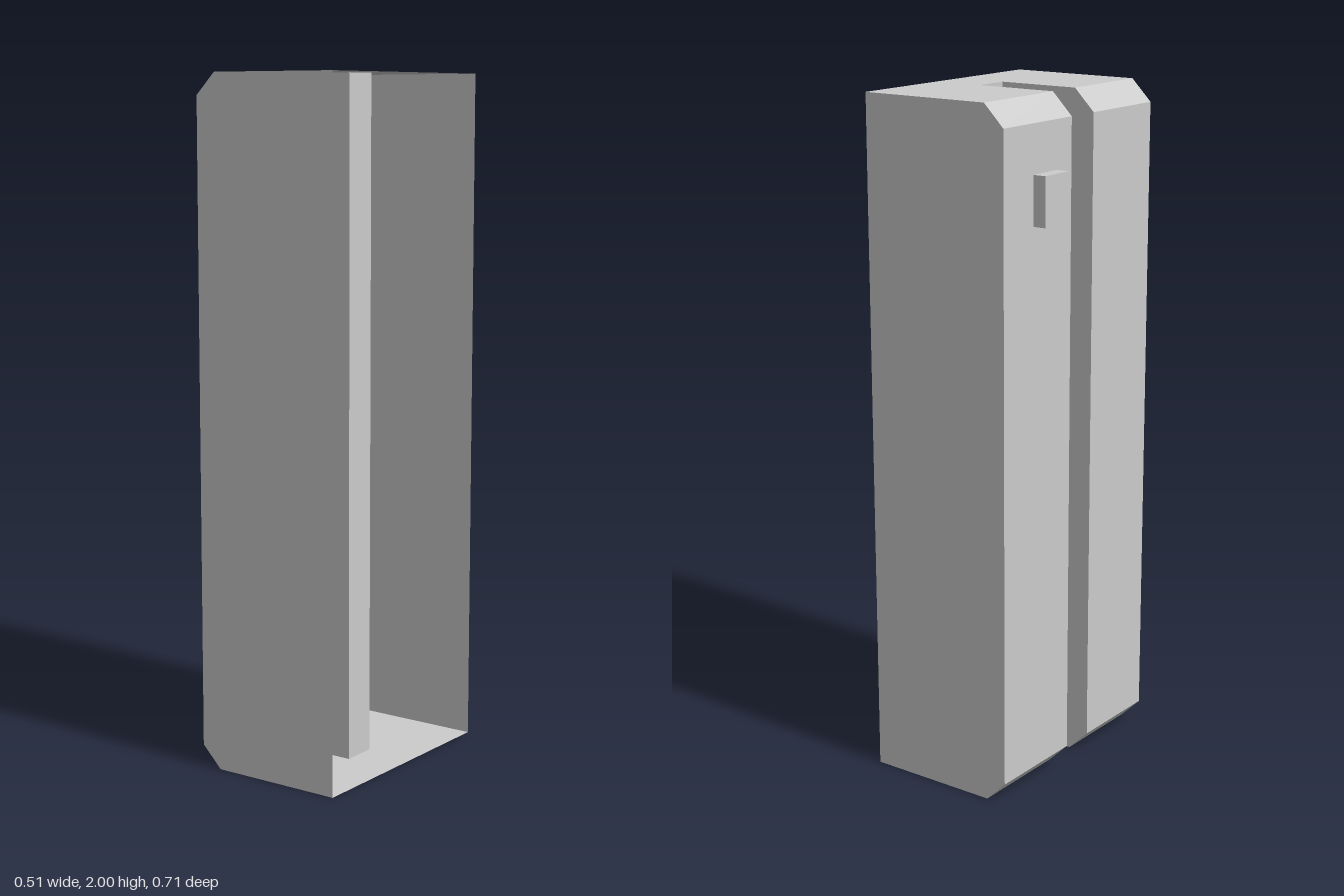
import * as THREE from 'three';

const H = 2, CUT = 0.063;                       // height, chamfer size
const BACK = -0.213, OPEN = 0.253, END = 0.1;   // closed side, open side, slot end (x)
const Z0 = -0.355, Z1 = 0.355, S0 = -0.043, S1 = 0.063; // outer walls, slot walls (z)

const material = new THREE.MeshStandardMaterial({ color: 0xcccccc, side: THREE.DoubleSide });

function part(name, geometry, x = 0, y = 0, z = 0) {
  const mesh = new THREE.Mesh(geometry, material);
  mesh.name = name;
  mesh.position.set(x, y, z);
  return mesh;
}

// Flat sheet from a list of [a, b] corners
function sheet(points) {
  return new THREE.ShapeGeometry(new THREE.Shape(points.map(([a, b]) => new THREE.Vector2(a, b))));
}

// Side outline with two chamfered corners, reaching to the given x
function outline(xEnd) {
  return sheet([
    [xEnd, 0], [xEnd, H], [BACK + CUT, H], [BACK, H - CUT], [BACK, CUT], [BACK + CUT, 0],
  ]);
}

// Folded panel following an x-y path between two z positions
function foldedPanel(path, za, zb) {
  const pos = [];
  for (let i = 0; i < path.length - 1; i++) {
    const [ax, ay] = path[i], [bx, by] = path[i + 1];
    pos.push(ax, ay, za, ax, ay, zb, bx, by, zb, ax, ay, za, bx, by, zb, bx, by, za);
  }
  const geometry = new THREE.BufferGeometry();
  geometry.setAttribute('position', new THREE.Float32BufferAttribute(pos, 3));
  geometry.computeVertexNormals();
  return geometry;
}

export function createModel() {
  const group = new THREE.Group();
  group.name = 'slottedHousing';

  // Outer side walls
  group.add(part('frontWall', outline(OPEN), 0, 0, Z1));
  group.add(part('rearWall', outline(OPEN).rotateY(Math.PI).scale(-1, 1, 1), 0, 0, Z0));

  // Walls lining the slot, and its closed end
  group.add(part('slotWallFront', outline(END), 0, 0, S1));
  group.add(part('slotWallRear', outline(END), 0, 0, S0));
  group.add(part('slotEnd', new THREE.PlaneGeometry(S1 - S0, H).rotateY(-Math.PI / 2), END, H / 2, (S0 + S1) / 2));

  // Top and bottom plates, notched by the slot
  const x0 = BACK + CUT;
  const plate = [
    [x0, -Z1], [OPEN, -Z1], [OPEN, -Z0], [x0, -Z0], [x0, -S0], [END, -S0], [END, -S1], [x0, -S1],
  ];
  group.add(part('topPlate', sheet(plate).rotateX(-Math.PI / 2), 0, H, 0));
  const mirrored = plate.map(([x, z]) => [x, -z]);
  group.add(part('bottomPlate', sheet(mirrored).rotateX(Math.PI / 2)));

  // Long panels either side of the slot, with their chamfers
  const path = [[x0, 0], [BACK, CUT], [BACK, H - CUT], [x0, H]];
  group.add(part('panelFront', foldedPanel(path, S1, Z1)));
  group.add(part('panelRear', foldedPanel(path, Z0, S0)));

  // Small raised button
  group.add(part('button', new THREE.BoxGeometry(0.04, 0.14, 0.108), -0.233, 1.73, -0.167));

  return group;
}
